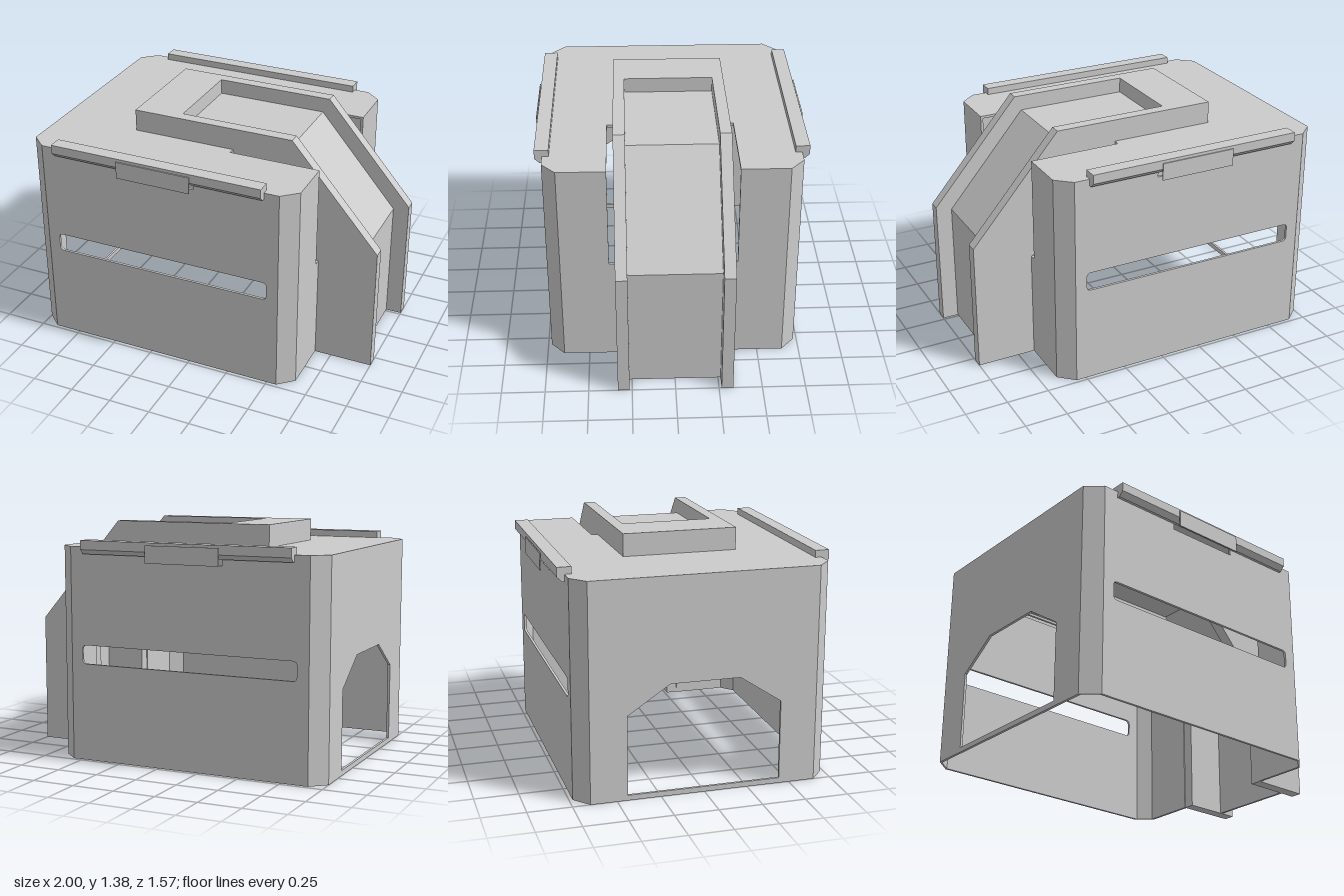
import * as THREE from 'three';

const T = 0.015; // sheet thickness
const material = new THREE.MeshStandardMaterial({ color: 0xcccccc, flatShading: true, side: THREE.DoubleSide });

const toPoints = (pts) => pts.map(([x, y]) => new THREE.Vector2(x, y));

// Flat sheet: outline extruded by depth along +z
function sheet(outline, depth, holes = []) {
  const shape = new THREE.Shape(toPoints(outline));
  for (const h of holes) shape.holes.push(h instanceof THREE.Path ? h : new THREE.Path(toPoints(h)));
  return new THREE.ExtrudeGeometry(shape, { depth, bevelEnabled: false, curveSegments: 4 });
}

const rect = (x0, y0, x1, y1) => [[x0, y0], [x1, y0], [x1, y1], [x0, y1]];

function roundedHole(x0, y0, x1, y1, r) {
  const p = new THREE.Path();
  p.moveTo(x0 + r, y0);
  p.lineTo(x1 - r, y0).quadraticCurveTo(x1, y0, x1, y0 + r);
  p.lineTo(x1, y1 - r).quadraticCurveTo(x1, y1, x1 - r, y1);
  p.lineTo(x0 + r, y1).quadraticCurveTo(x0, y1, x0, y1 - r);
  p.lineTo(x0, y0 + r).quadraticCurveTo(x0, y0, x0 + r, y0);
  return p;
}

export function createModel() {
  const model = new THREE.Group();
  const add = (name, geometry) => {
    const mesh = new THREE.Mesh(geometry, material);
    mesh.name = name;
    model.add(mesh);
    return mesh;
  };

  // Roof with chamfered corners and a cut-out under the hood
  const half = [[0.11, 0.33], [0.11, 0.37], [0.65, 0.37], [0.65, 0.65], [0.56, 0.73], [-0.91, 0.73], [-1, 0.65]];
  const roofOutline = [[-0.5, 0.33], ...half, ...half.map(([x, z]) => [x, -z]).reverse(), [-0.5, -0.33]];
  add('roof', sheet(roofOutline, T).rotateX(-Math.PI / 2).translate(0, 1.25 - T, 0));

  // End wall with an arched opening
  const arch = [[-0.44, 0.03], [0.44, 0.03], [0.44, 0.49], [0.2, 0.65], [-0.2, 0.65], [-0.44, 0.49]];
  add('endWall', sheet(rect(-0.65, 0, 0.65, 1.25), T, [arch]).rotateY(-Math.PI / 2).translate(-1 + T, 0, 0));

  for (const s of [1, -1]) {
    const side = s > 0 ? 'left' : 'right';
    const placeZ = (geometry, outer, depth) => geometry.translate(0, 0, s > 0 ? outer - depth : -outer);

    // Long wall with a slot and a latch window
    const wall = sheet(rect(-0.91, 0, 0.56, 1.25), T,
      [roundedHole(-0.84, 0.57, 0.49, 0.68, 0.025), rect(-0.4, 1.175, 0.05, 1.225)]);
    add(side + 'LongWall', placeZ(wall, 0.73, T));

    // Chamfered corner strips
    for (const [xa, xb] of [[0.56, 0.65], [-0.91, -1]]) {
      const d = Math.sign(xb) * T;
      const strip = sheet([[xa, s * 0.73], [xb, s * 0.65], [xb - d, s * 0.65], [xa, s * (0.73 - T)]], 1.25);
      add(side + 'CornerStrip', strip.rotateX(-Math.PI / 2));
    }

    // Wall beside the chute, stepped inward below the clearance gap
    const cheek = [[0.33, 0], [0.65, 0], [0.65, 1.25], [0.37, 1.25], [0.37, 0.64], [0.33, 0.64]]
      .map(([z, y]) => [s * z, y]);
    add(side + 'ChuteWall', sheet(cheek, T).rotateY(-Math.PI / 2).translate(0.65, 0, 0));

    // Raised side plate of the chute
    const plate = [[-0.51, 1.235], [-0.51, 1.38], [0.47, 1.38], [1, 0.765], [1, 0], [0.64, 0], [0.64, 0.64], [0.11, 1.235]];
    add(side + 'ChutePlate', placeZ(sheet(plate, 0.067), 0.332, 0.067));

    // Hooked rail along the roof edge
    const hook = [[0.692, 1.25], [0.692, 1.29], [0.773, 1.29], [0.773, 1.237], [0.745, 1.21], [0.73, 1.21], [0.73, 1.25]]
      .map(([z, y]) => [s * z, y]);
    add(side + 'Rail', sheet(hook, 1.29).rotateY(-Math.PI / 2).translate(0.47, 0, 0));

    // Thin latch tab on the rail
    add(side + 'LatchTab', placeZ(sheet(rect(-0.4, 1.175, 0.05, 1.275), 0.006), 0.784, 0.006));
  }

  // Recessed chute cover: rear rim, floor, slope and front, all one folded sheet
  const cover = [[-0.51, 1.235], [-0.51, 1.38], [-0.235, 1.38], [-0.235, 1.29], [0.43, 1.29], [0.905, 0.735], [0.905, 0],
    [0.89, 0], [0.89, 0.73], [0.423, 1.275], [-0.25, 1.275], [-0.25, 1.365], [-0.495, 1.365], [-0.495, 1.235]];
  add('chuteCover', sheet(cover, 0.53).translate(0, 0, -0.265));

  return model;
}
